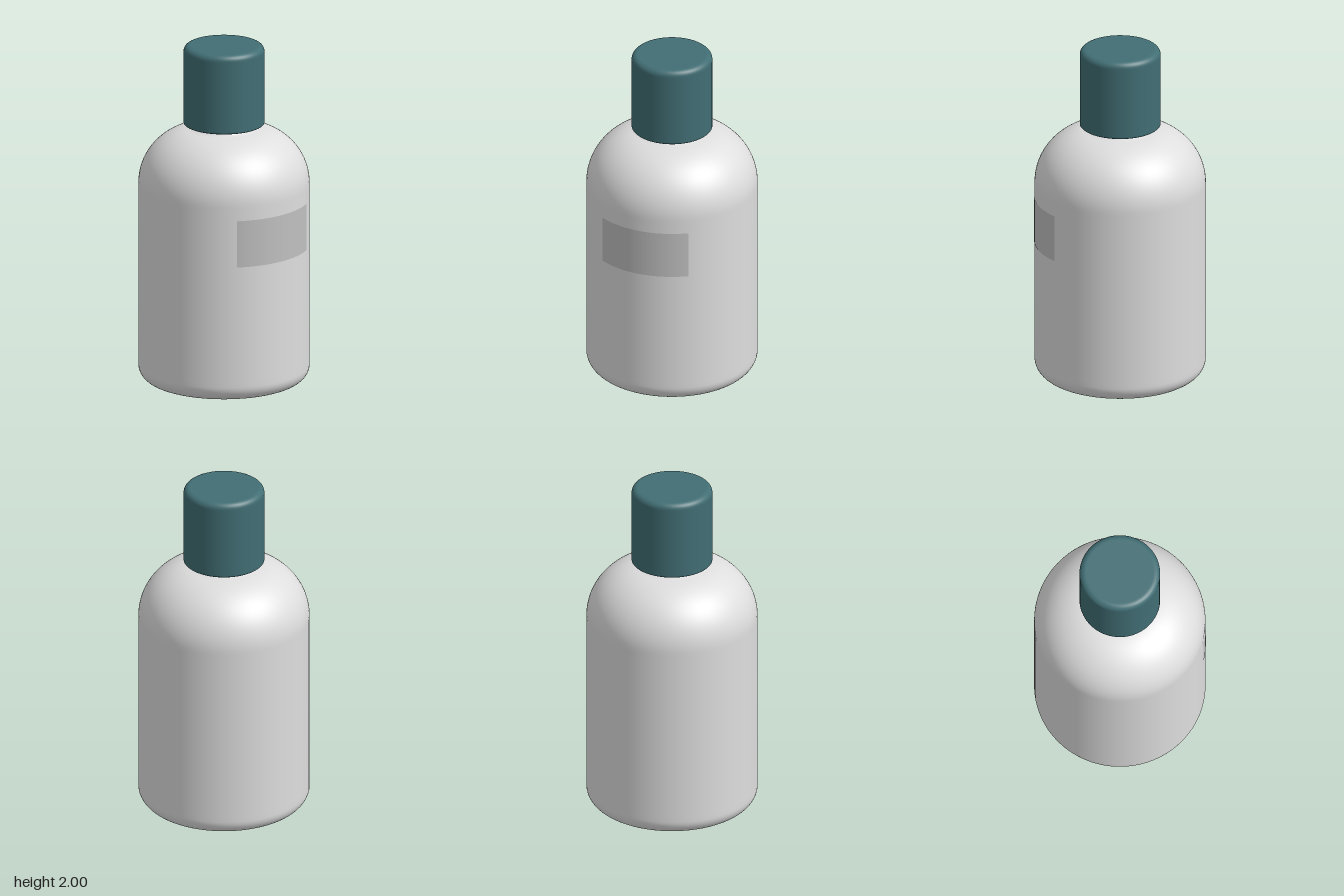
import * as THREE from 'three';

const SEGMENTS = 96;
const v = (x, y) => new THREE.Vector2(x, y);

// Points along a quarter-style arc, angles in radians from +x
function arc(cx, cy, r, from, to, steps) {
  return Array.from({ length: steps + 1 }, (_, i) => {
    const a = from + ((to - from) * i) / steps;
    return v(cx + r * Math.cos(a), cy + r * Math.sin(a));
  });
}

export function createModel() {
  const bottleWhite = new THREE.MeshStandardMaterial({ color: 0xdedede });
  const capTeal = new THREE.MeshStandardMaterial({ color: 0x416e74 });
  const labelGrey = new THREE.MeshStandardMaterial({ color: 0xc0c0c0 });
  const model = new THREE.Group();
  model.name = 'bottle';

  const add = (name, profile, material, start = 0, sweep = Math.PI * 2) => {
    const mesh = new THREE.Mesh(new THREE.LatheGeometry(profile, SEGMENTS, start, sweep), material);
    mesh.name = name;
    model.add(mesh);
  };

  // Body: flat base, rounded foot, straight wall, domed shoulder, filleted neck
  const radius = 0.492;
  add('body', [
    v(0, 0), v(0.39, 0),
    ...arc(radius - 0.09, 0.09, 0.09, -Math.PI / 2, 0, 10),
    v(radius, 0.12), v(radius, 1.16),
    ...arc(radius - 0.33, 1.175, 0.33, 0, 1.44, 24),
    v(0.182, 1.507), v(0.17, 1.515), v(0.165, 1.528), v(0.165, 1.56),
  ], bottleWhite);

  // Cap: flat underside, straight wall, softly rounded top edge
  add('cap', [
    v(0, 1.532), v(0.222, 1.532), v(0.228, 1.532),
    v(0.232, 1.536), v(0.232, 1.545), v(0.232, 1.955),
    ...arc(0.197, 1.965, 0.035, 0, Math.PI / 2, 8),
    v(0.19, 2), v(0, 2),
  ], capTeal);

  // Label: thin curved panel on the left (+x) side
  const half = Math.asin(0.263 / radius);
  add('label', [v(radius + 0.002, 0.812), v(radius + 0.002, 1.09)], labelGrey, Math.PI / 2 - half, half * 2);

  return model;
}
